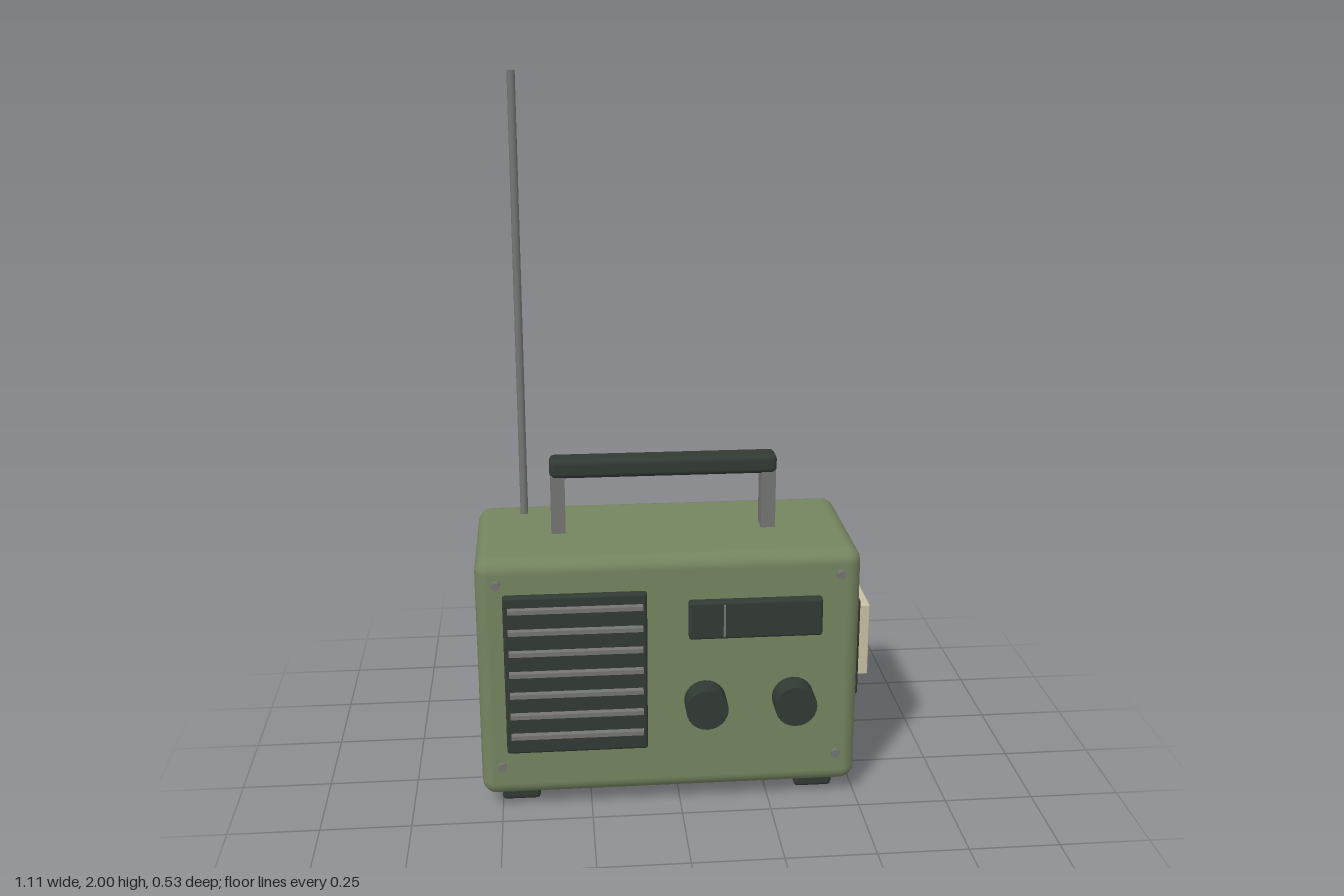
import * as THREE from 'three';
import { RoundedBoxGeometry } from 'three/addons/geometries/RoundedBoxGeometry.js';

const paint = (name, color) => {
  const m = new THREE.MeshStandardMaterial({ color });
  m.name = name;
  return m;
};

export function createModel() {
  const radio = new THREE.Group();
  radio.name = 'portableRadio';
  const green = paint('olive green', 0x74845f);
  const dark = paint('dark rubber', 0x323a34);
  const grey = paint('grey metal', 0x757673);
  const cream = paint('cream', 0xc8bfa3);

  const add = (name, geometry, material, x, y, z) => {
    const mesh = new THREE.Mesh(geometry, material);
    mesh.name = name;
    mesh.position.set(x, y, z);
    radio.add(mesh);
    return mesh;
  };
  // Box given by its limits on each axis, rounded when r > 0
  const box = (name, material, [x0, x1], [y0, y1], [z0, z1], r = 0) => {
    const size = [x1 - x0, y1 - y0, z1 - z0];
    const geometry = r ? new RoundedBoxGeometry(...size, 3, r) : new THREE.BoxGeometry(...size);
    return add(name, geometry, material, (x0 + x1) / 2, (y0 + y1) / 2, (z0 + z1) / 2);
  };
  // Short cylinder pointing forward
  const disc = (name, material, r, depth, x, y, z, sides) => {
    const geometry = new THREE.CylinderGeometry(r, r, depth, sides).rotateX(Math.PI / 2);
    return add(name, geometry, material, x, y, z);
  };

  // Case and feet
  box('case', green, [-0.555, 0.497], [0.045, 0.75], [-0.267, 0.197], 0.04);
  for (const x of [-0.448, 0.388]) {
    box('foot', dark, [x - 0.054, x + 0.054], [0, 0.06], [-0.2, 0.137], 0.012);
  }

  // Carrying handle on two posts
  box('handleGrip', dark, [-0.347, 0.288], [0.91, 0.965], [-0.071, 0.001], 0.016);
  for (const x of [-0.325, 0.265]) {
    box('handlePost', grey, [x - 0.02, x + 0.02], [0.74, 0.92], [-0.065, -0.004]);
  }

  // Aerial
  add('aerial', new THREE.CylinderGeometry(0.011, 0.011, 1.3, 12), grey, -0.421, 1.35, -0.183);

  // Speaker grille with slats
  box('speakerPanel', dark, [-0.482, -0.093], [0.188, 0.654], [0.18, 0.217], 0.008);
  for (let i = 0; i < 7; i++) {
    const y = 0.246 + i * 0.062;
    box('speakerSlat', grey, [-0.469, -0.105], [y - 0.006, y + 0.006], [0.215, 0.235]);
  }

  // Tuning window and needle
  box('tuningWindow', dark, [0.02, 0.387], [0.514, 0.623], [0.185, 0.223], 0.008);
  box('tuningNeedle', grey, [0.114, 0.119], [0.522, 0.615], [0.22, 0.229]);

  // Knobs
  for (const x of [0.067, 0.312]) disc('knob', dark, 0.058, 0.08, x, 0.323, 0.226, 24);

  // Corner screws
  for (const x of [-0.497, 0.435]) {
    for (const y of [0.15, 0.69]) disc('screw', grey, 0.012, 0.014, x, y, 0.217, 10);
  }

  // Side lamp in its frame
  box('lampFrame', dark, [0.475, 0.515], [0.275, 0.567], [-0.18, 0.112], 0.008);
  box('lampPanel', cream, [0.5, 0.553], [0.313, 0.53], [-0.132, 0.062], 0.004);

  return radio;
}
